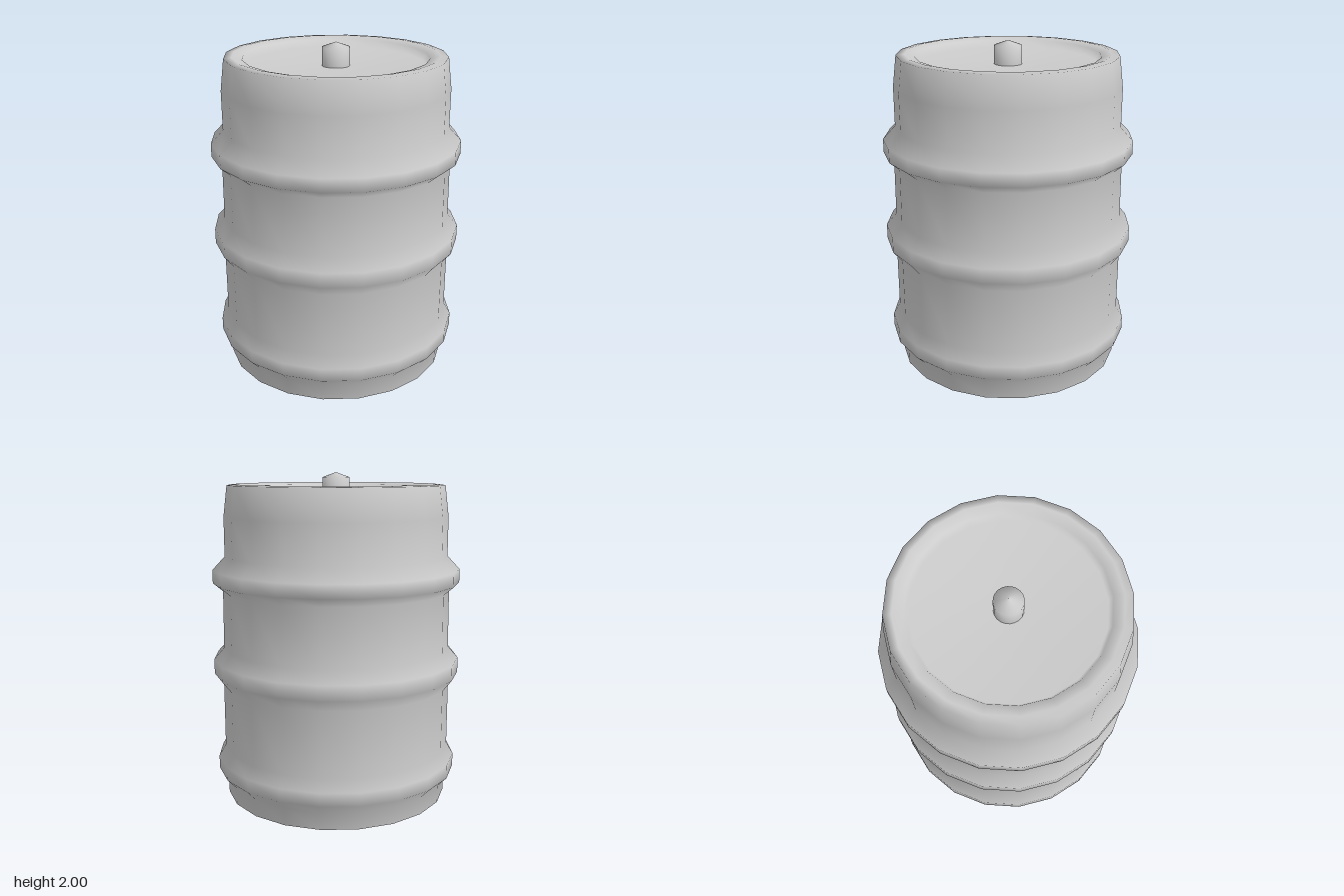
import * as THREE from 'three';

const SIDES = 20;

// Smooth turned part from [radius, height] pairs
function turned(name, profile) {
  const points = profile.map(([r, y]) => new THREE.Vector2(r, y));
  const mesh = new THREE.Mesh(
    new THREE.LatheGeometry(points, SIDES),
    new THREE.MeshStandardMaterial({ color: 0xcccccc })
  );
  mesh.name = name;
  return mesh;
}

export function createModel() {
  const group = new THREE.Group();
  group.name = 'keg';

  group.add(turned('barrelBody', [
    // flat base and foot
    [0, 0], [0.67, 0], [0.69, 0.005], [0.69, 0.11],
    // lower hoop
    [0.747, 0.17], [0.747, 0.25], [0.705, 0.32],
    // middle hoop
    [0.705, 0.715], [0.76, 0.785], [0.76, 0.875], [0.698, 0.945],
    // upper hoop
    [0.695, 1.295], [0.755, 1.345], [0.755, 1.425], [0.68, 1.505],
    // tapered shoulder and rim
    [0.68, 1.74], [0.657, 1.925], [0.61, 1.93],
    // shallow dished lid
    [0.55, 1.915], [0.53, 1.87], [0, 1.86],
  ]));

  // Central valve stem with a low conical tip
  group.add(turned('valveStem', [[0.083, 1.85], [0.083, 1.97], [0, 2]]));

  return group;
}
